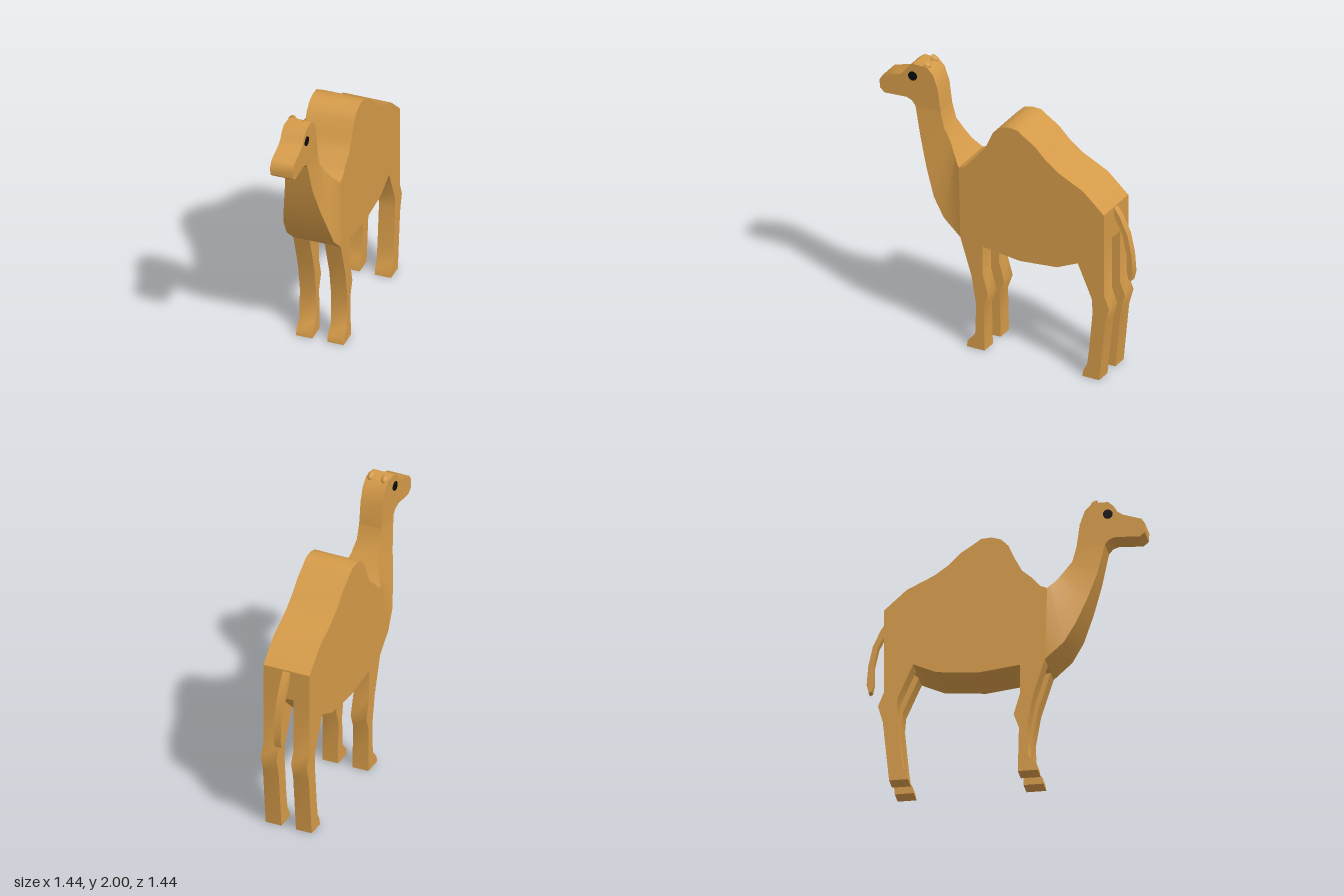
import * as THREE from 'three';
import { toCreasedNormals } from 'three/addons/utils/BufferGeometryUtils.js';

// Plan lengths are written along the world axes; the animal stands on the diagonal.
const K = Math.SQRT2;
const CREASE = 0.7;

export function createModel() {
  const coat = new THREE.MeshStandardMaterial({ color: 0xd49a48, side: THREE.DoubleSide });
  coat.name = 'tan coat';
  const black = new THREE.MeshStandardMaterial({ color: 0x0a0a0a });
  black.name = 'eye black';

  const model = new THREE.Group();
  model.name = 'camel';
  const add = (name, geometry, material = coat) => {
    const mesh = new THREE.Mesh(geometry, material);
    mesh.name = name;
    model.add(mesh);
    return mesh;
  };

  // Side profile extruded across the animal from w0 to w1
  const slab = (name, points, w0, w1) => {
    const shape = new THREE.Shape(points.map(([s, y]) => new THREE.Vector2(s * K, y)));
    const geo = new THREE.ExtrudeGeometry(shape, { depth: (w1 - w0) * K, bevelEnabled: false });
    geo.translate(0, 0, w0 * K);
    return add(name, toCreasedNormals(geo, CREASE));
  };

  // Body with a single hump
  slab('body', [
    [0.21, 1.33], [0.175, 1.35], [0.14, 1.41], [0.09, 1.47], [0.06, 1.55], [0.025, 1.66],
    [-0.01, 1.71], [-0.055, 1.73], [-0.105, 1.725], [-0.14, 1.69], [-0.2, 1.635],
    [-0.26, 1.55], [-0.33, 1.48], [-0.46, 1.39], [-0.57, 1.25], [-0.57, 1.03],
    [-0.43, 0.84], [-0.32, 0.77], [-0.12, 0.745], [0.08, 0.78], [0.2, 0.81],
  ], -0.12, 0.12);

  // Tapering neck: each section is throat (s, y, half width) and nape (s, y, half width)
  const sections = [
    [0.2, 0.81, 0.12, 0.21, 1.33, 0.12],
    [0.29, 0.925, 0.119, 0.23, 1.365, 0.105],
    [0.345, 1.06, 0.115, 0.25, 1.4, 0.09],
    [0.395, 1.24, 0.093, 0.28, 1.47, 0.07],
    [0.44, 1.44, 0.07, 0.32, 1.55, 0.06],
    [0.475, 1.66, 0.057, 0.34, 1.66, 0.057],
  ].map(([fs, fy, fw, bs, by, bw]) => [
    [fs * K, fy, fw * K], [fs * K, fy, -fw * K], [bs * K, by, -bw * K], [bs * K, by, bw * K],
  ]);
  const verts = [];
  for (let i = 0; i < sections.length - 1; i++) {
    const a = sections[i], b = sections[i + 1];
    for (let j = 0; j < 4; j++) {
      const k = (j + 1) % 4;
      verts.push(...a[j], ...a[k], ...b[k], ...a[j], ...b[k], ...b[j]);
    }
  }
  const neck = new THREE.BufferGeometry();
  neck.setAttribute('position', new THREE.Float32BufferAttribute(verts, 3));
  add('neck', toCreasedNormals(neck, CREASE));

  // Head
  slab('head', [
    [0.475, 1.66], [0.495, 1.695], [0.525, 1.71], [0.64, 1.7], [0.665, 1.73], [0.668, 1.79],
    [0.65, 1.83], [0.56, 1.87], [0.535, 1.895], [0.515, 1.94], [0.49, 1.97], [0.415, 1.97],
    [0.38, 1.92], [0.355, 1.82], [0.34, 1.66],
  ], -0.057, 0.057);

  const frontLeg = [
    [0.2, 0.81], [0.08, 0.78], [0.08, 0.57], [0.05, 0.42], [0.075, 0.32], [0.07, 0],
    [0.165, 0], [0.16, 0.045], [0.12, 0.11], [0.115, 0.33], [0.14, 0.54],
  ];
  const hindLeg = [
    [-0.57, 1.03], [-0.57, 0.65], [-0.598, 0.55], [-0.575, 0.43], [-0.545, 0], [-0.455, 0],
    [-0.46, 0.045], [-0.48, 0.1], [-0.49, 0.2], [-0.51, 0.5], [-0.505, 0.6], [-0.43, 0.84],
  ];

  for (const side of [-1, 1]) {
    const label = side < 0 ? 'left' : 'right';
    const [w0, w1] = side < 0 ? [-0.12, -0.038] : [0.038, 0.12];
    slab(label + 'FrontLeg', frontLeg, w0, w1);
    slab(label + 'HindLeg', hindLeg, w0, w1);

    // Eye: thin disc on the side of the head
    const eye = add(label + 'Eye', new THREE.CylinderGeometry(0.033, 0.033, 0.008, 10), black);
    eye.rotation.x = Math.PI / 2;
    eye.position.set(0.489 * K, 1.88, side * (0.057 * K + 0.003));

    // Ear: small cupped shell, open to the front
    const ear = add(label + 'Ear', new THREE.SphereGeometry(1, 8, 6, 0, Math.PI));
    ear.scale.set(0.028, 0.035, 0.045);
    ear.rotation.y = -Math.PI / 2;
    ear.position.set(0.435 * K, 1.966, side * 0.036 * K);
  }

  // Tail
  slab('tail', [
    [-0.565, 1.25], [-0.6, 1.18], [-0.64, 1.06], [-0.662, 0.92], [-0.67, 0.78], [-0.66, 0.72],
    [-0.645, 0.73], [-0.635, 0.8], [-0.635, 0.92], [-0.615, 1.05], [-0.565, 1.19],
  ], -0.018, 0.018);

  // Turn onto the diagonal, head towards -x +z
  model.rotation.y = -0.75 * Math.PI;
  const root = new THREE.Group();
  root.name = 'camelModel';
  root.add(model);
  return root;
}
